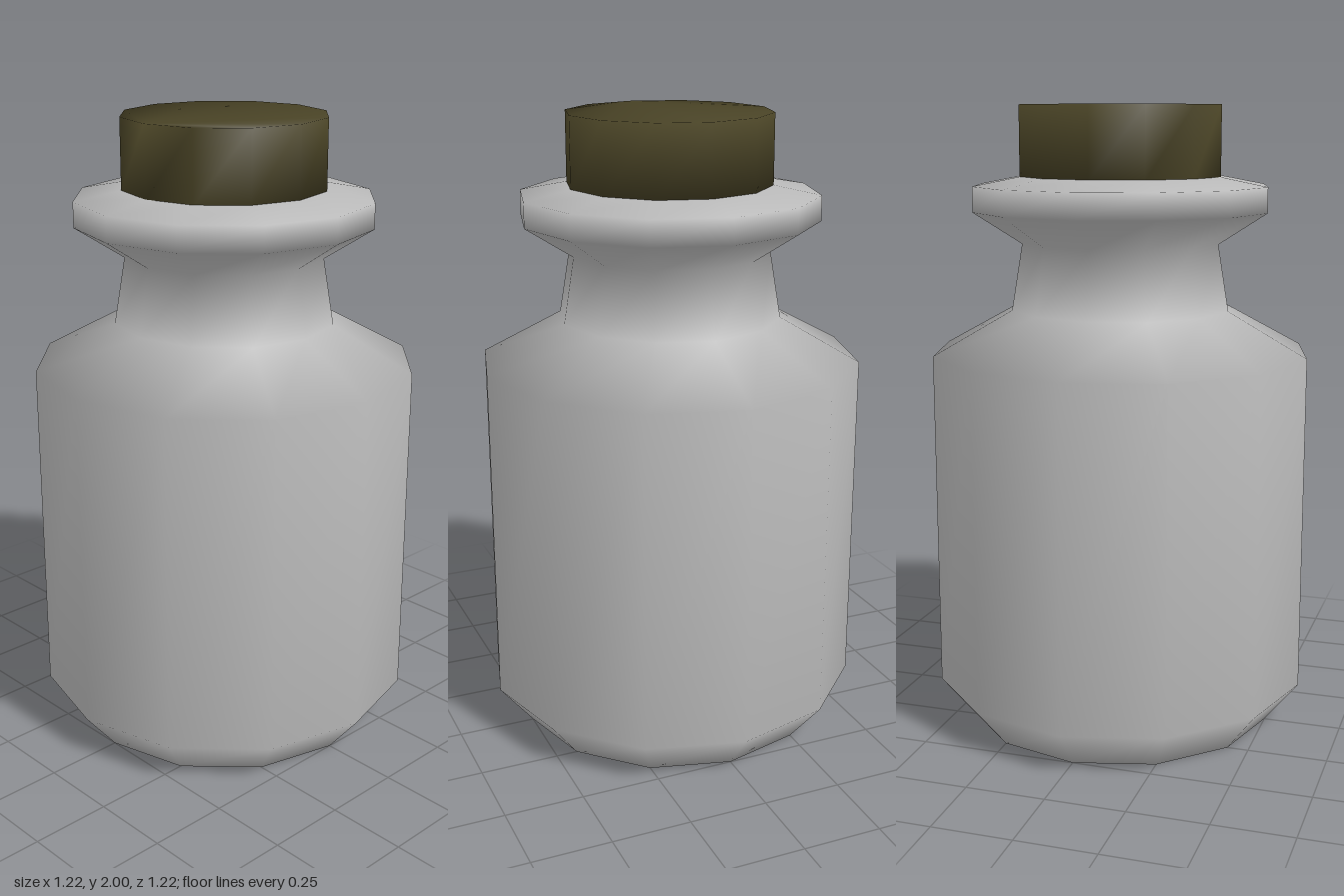
import * as THREE from 'three';

const SIDES = 12;

// Smooth-shaded solid of revolution from [radius, y] rings, with optional flat end caps
function turned(profile, capBottom, capTop) {
  const positions = [], index = [];
  for (const [r, y] of profile) {
    for (let i = 0; i < SIDES; i++) {
      const a = (i / SIDES) * Math.PI * 2;
      positions.push(r * Math.sin(a), y, r * Math.cos(a));
    }
  }
  const last = (profile.length - 1) * SIDES;
  for (let ring = 0; ring < last; ring += SIDES) {
    for (let i = 0; i < SIDES; i++) {
      const a = ring + i, b = ring + (i + 1) % SIDES;
      index.push(a, b, b + SIDES, a, b + SIDES, a + SIDES);
    }
  }
  for (let i = 1; i < SIDES - 1; i++) {
    if (capBottom) index.push(0, i + 1, i);
    if (capTop) index.push(last, last + i, last + i + 1);
  }
  const geometry = new THREE.BufferGeometry();
  geometry.setAttribute('position', new THREE.Float32BufferAttribute(positions, 3));
  geometry.setIndex(index);
  geometry.computeVertexNormals();
  return geometry;
}

export function createModel() {
  const glass = new THREE.MeshStandardMaterial({ color: 0xb8b8b8 });
  glass.name = 'greyGlass';
  const cork = new THREE.MeshStandardMaterial({ color: 0x484225 });
  cork.name = 'darkCork';

  // Bottle: chamfered base, straight body, shoulder, neck and flared lip
  const bottle = new THREE.Mesh(turned([
    [0.5, 0], [0.61, 0.135], [0.61, 1.22], [0.355, 1.36],
    [0.32, 1.57], [0.475, 1.67], [0.475, 1.75], [0.32, 1.78],
  ], true, false), glass);
  bottle.name = 'bottle';

  // Stopper closing the mouth
  const stopper = new THREE.Mesh(turned([[0.325, 1.775], [0.325, 2]], true, true), cork);
  stopper.name = 'stopper';

  const group = new THREE.Group();
  group.name = 'stopperedBottle';
  group.add(bottle, stopper);
  return group;
}
